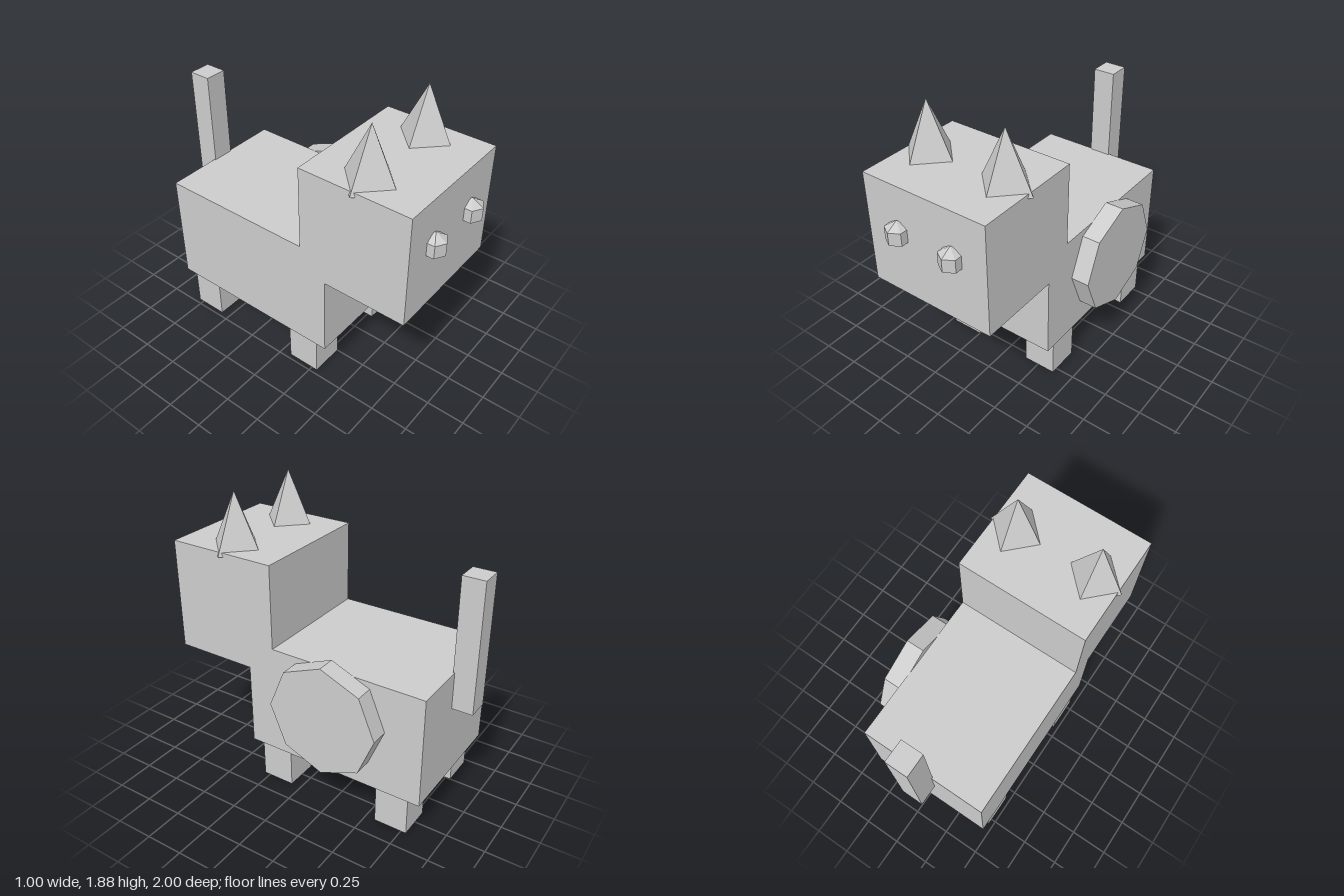
import * as THREE from 'three';

export function createModel() {
  const model = new THREE.Group();
  const grey = new THREE.MeshStandardMaterial({ color: 0xcccccc });
  grey.name = 'grey';
  grey.flatShading = true;
  const midX = -0.05; // the animal's own centre line

  const add = (name, geometry, x, y, z) => {
    const mesh = new THREE.Mesh(geometry, grey);
    mesh.name = name;
    mesh.position.set(x, y, z);
    model.add(mesh);
  };

  // Box given by its x centre, width, and y and z ranges
  const addBox = (name, x, width, y0, y1, z0, z1) =>
    add(name, new THREE.BoxGeometry(width, y1 - y0, z1 - z0), x, (y0 + y1) / 2, (z0 + z1) / 2);

  addBox('body', midX, 0.86, 0.255, 0.99, -0.865, 0.365);
  addBox('head', midX, 0.86, 0.805, 1.54, 0.18, 0.915);
  addBox('tail', midX, 0.145, 0.745, 1.6, -1, -0.855);

  for (const side of [-1, 1]) {
    const name = side < 0 ? 'right' : 'left';

    // Legs
    addBox(name + 'FrontLeg', midX + side * 0.31, 0.22, 0, 0.26, 0.07, 0.29);
    addBox(name + 'BackLeg', midX + side * 0.31, 0.22, 0, 0.26, -0.785, -0.565);

    // Four-sided ears, sunk slightly into the head
    add(name + 'Ear', new THREE.ConeGeometry(0.18, 0.365, 4), midX + side * 0.272, 1.6975, 0.545);

    // Faceted eyes with one edge facing forward
    const eye = new THREE.SphereGeometry(0.085, 6, 3).rotateY(Math.PI / 2);
    add(name + 'Eye', eye, midX + side * 0.195, 1.235, 0.926);
  }

  // Octagonal disc on the left flank
  const disc = new THREE.CylinderGeometry(0.367, 0.367, 0.123, 8).rotateZ(Math.PI / 2);
  add('sideDisc', disc, 0.4385, 0.685, -0.25);

  return model;
}
